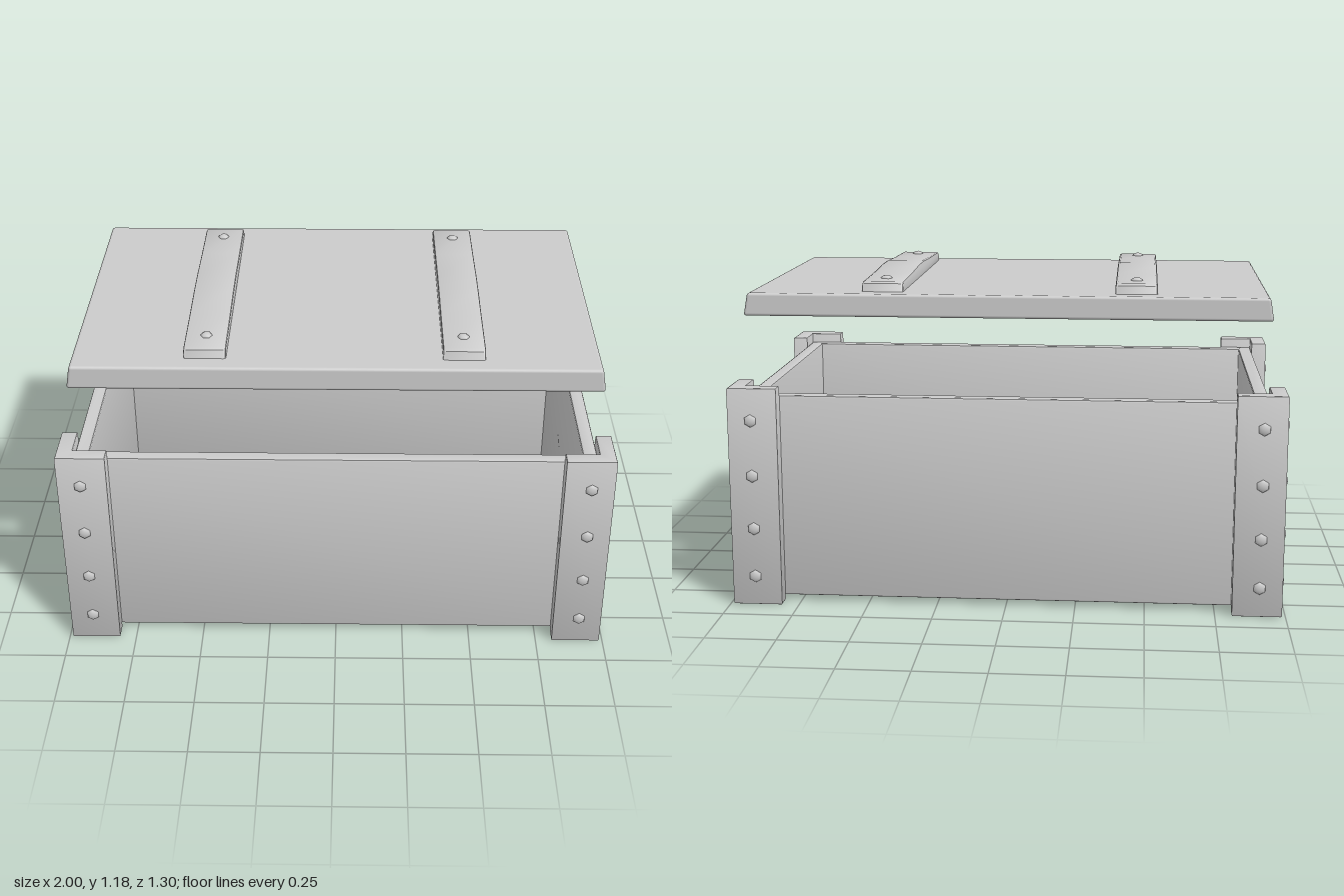
import * as THREE from 'three';
import { toCreasedNormals } from 'three/addons/utils/BufferGeometryUtils.js';
import { RoundedBoxGeometry } from 'three/addons/geometries/RoundedBoxGeometry.js';

const grey = new THREE.MeshStandardMaterial({ color: 0xcccccc });

function add(parent, name, geometry) {
  const mesh = new THREE.Mesh(geometry, grey);
  mesh.name = name;
  parent.add(mesh);
  return mesh;
}

const polygon = (points) => points.map(([x, y]) => new THREE.Vector2(x, y));

const rectangle = (x, z) => polygon([[-x, -z], [x, -z], [x, z], [-x, z]]);

// Bevelled extrusion whose total depth, bevels included, is `depth`, starting at 0.
function bevelled(shape, depth, bevel) {
  const geometry = new THREE.ExtrudeGeometry(shape, {
    depth: depth - 2 * bevel, bevelSize: bevel, bevelThickness: bevel,
    bevelOffset: -bevel, bevelSegments: 2,
  });
  return toCreasedNormals(geometry.translate(0, 0, bevel), 0.7);
}

// Six-sided domed head, rising along +y from its base.
function rivetGeometry(radius, height) {
  return new THREE.SphereGeometry(radius, 6, 3, 0, Math.PI * 2, 0, Math.PI / 2)
    .scale(1, height / radius, 1);
}

function createBox() {
  const box = new THREE.Group();
  box.name = 'box';
  const outline = new THREE.Shape(rectangle(0.93, 0.583));
  outline.holes.push(new THREE.Path(rectangle(0.88, 0.533)));
  add(box, 'walls', bevelled(outline, 0.745, 0.008).rotateX(-Math.PI / 2)).position.y = 0.02;
  add(box, 'floor', new THREE.BoxGeometry(1.8, 0.05, 1.1)).position.y = 0.046;
  return box;
}

// Corner angle iron with a column of rivets on each outer face.
function createBracket(sx, sz) {
  const bracket = new THREE.Group();
  bracket.name = 'cornerBracket';
  const section = polygon([
    [0.81, 0.64], [0.987, 0.64], [0.987, 0.463], [0.93, 0.463], [0.93, 0.583], [0.81, 0.583],
  ].map(([x, z]) => [sx * x, -sz * z]));
  add(bracket, 'angleIron', bevelled(new THREE.Shape(section), 0.8, 0.006).rotateX(-Math.PI / 2));

  for (const y of [0.107, 0.285, 0.48, 0.682]) {
    const front = add(bracket, 'rivet', rivetGeometry(0.024, 0.013).rotateY(Math.PI / 6));
    front.position.set(sx * 0.905, y, sz * 0.639);
    front.rotation.x = sz * Math.PI / 2;
    const side = add(bracket, 'rivet', rivetGeometry(0.024, 0.013).rotateY(Math.PI / 6));
    side.position.set(sx * 0.986, y, sz * 0.552);
    side.rotation.z = -sx * Math.PI / 2;
  }
  return bracket;
}

function createLid() {
  const lid = new THREE.Group();
  lid.name = 'lid';

  // Slab whose sides lean in towards the top
  const slab = new RoundedBoxGeometry(1.86, 0.08, 1.17, 3, 0.01);
  const p = slab.attributes.position;
  for (let i = 0; i < p.count; i++) {
    const inset = 0.012 * (p.getY(i) + 0.04) / 0.08;
    p.setX(i, p.getX(i) - Math.sign(p.getX(i)) * inset);
    p.setZ(i, p.getZ(i) - Math.sign(p.getZ(i)) * inset);
  }
  add(lid, 'slab', slab).position.y = 1.09;

  // Battens: sloped ends and a slight rise in the middle
  const half = [[0.51, 1.122], [0.496, 1.158], [0.482, 1.165], [0.25, 1.17], [0.06, 1.178]];
  const profile = polygon([...half, ...half.map(([z, y]) => [-z, y]).reverse()]);
  for (const x of [-0.455, 0.445]) {
    const batten = bevelled(new THREE.Shape(profile), 0.148, 0.008).rotateY(Math.PI / 2);
    add(lid, 'batten', batten).position.x = x - 0.074;
    for (const z of [-0.405, 0.405]) {
      add(lid, 'battenRivet', rivetGeometry(0.022, 0.013)).position.set(x, 1.165, z);
    }
  }
  return lid;
}

export function createModel() {
  const model = new THREE.Group();
  model.name = 'crate';
  model.add(createBox(), createLid());
  for (const sx of [-1, 1]) for (const sz of [-1, 1]) model.add(createBracket(sx, sz));
  return model;
}
